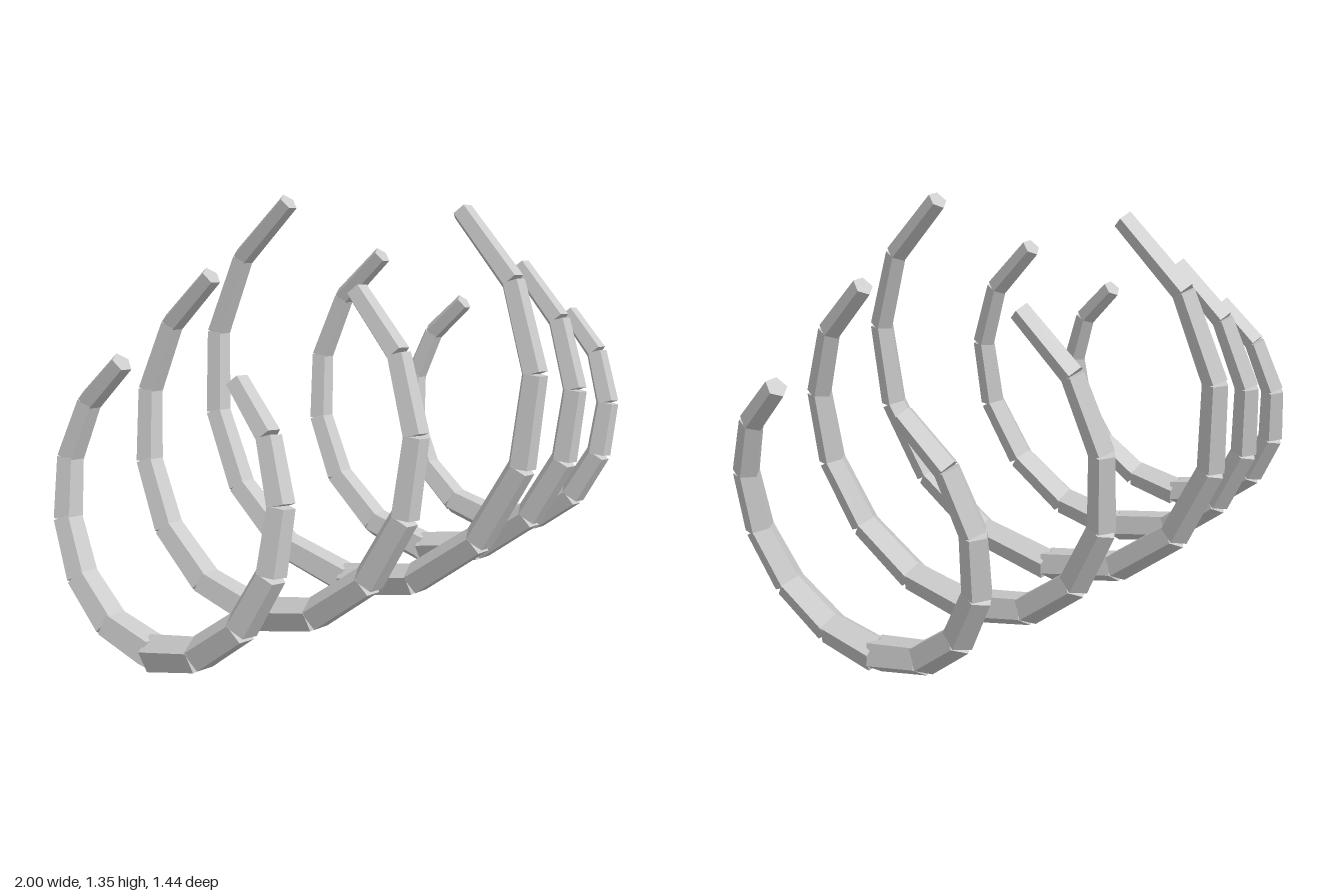
import * as THREE from 'three';

const SEGMENTS = 6;                 // straight bones per half rib
const SWEEP = 0.82 * Math.PI;       // angle from the bottom to the tip
const LEAN = 0.127;                 // sideways drift from bottom to tip
const R_BASE = 0.058, R_TIP = 0.035;
const UP = new THREE.Vector3(0, 1, 0);

const material = new THREE.MeshStandardMaterial({ color: 0xcccccc, flatShading: true });

// Tapered five-sided bar between two points
function bar(a, b, ra, rb) {
  const dir = b.clone().sub(a);
  const geo = new THREE.CylinderGeometry(rb, ra, dir.length(), 5, 1, false, Math.PI);
  const mesh = new THREE.Mesh(geo, material);
  mesh.position.copy(a).add(b).multiplyScalar(0.5);
  mesh.quaternion.setFromUnitVectors(UP, dir.normalize());
  mesh.name = 'ribSegment';
  return mesh;
}

// Half a rib: a chain of bars along a leaning arc; side is +1 front, -1 back
function halfRib(x, baseY, radius, side) {
  const half = new THREE.Group();
  half.name = side > 0 ? 'frontHalf' : 'backHalf';
  const point = (t) => {
    const a = t * SWEEP;
    const rise = 1 - Math.cos(a);
    return new THREE.Vector3(
      x + LEAN * rise / (1 - Math.cos(SWEEP)),
      baseY + radius * rise,
      side * radius * Math.sin(a));
  };
  for (let i = 0; i < SEGMENTS; i++) {
    const t0 = i / SEGMENTS, t1 = (i + 1) / SEGMENTS;
    half.add(bar(point(t0), point(t1),
      THREE.MathUtils.lerp(R_BASE, R_TIP, t0),
      THREE.MathUtils.lerp(R_BASE, R_TIP, t1)));
  }
  return half;
}

export function createModel() {
  const model = new THREE.Group();
  model.name = 'ribCage';

  // Five open ribs, largest in the middle: [radius, height of the bottom joint]
  const sizes = [[0.447, 0.07], [0.568, 0.063], [0.687, 0.058]];
  for (let i = 0; i < 5; i++) {
    const [radius, baseY] = sizes[2 - Math.abs(i - 2)];
    const x = -0.055 + (i - 2) * 0.446;
    const rib = new THREE.Group();
    rib.name = 'rib' + (i + 1);
    rib.add(halfRib(x, baseY, radius, 1), halfRib(x, baseY, radius, -1));
    model.add(rib);
  }
  return model;
}
